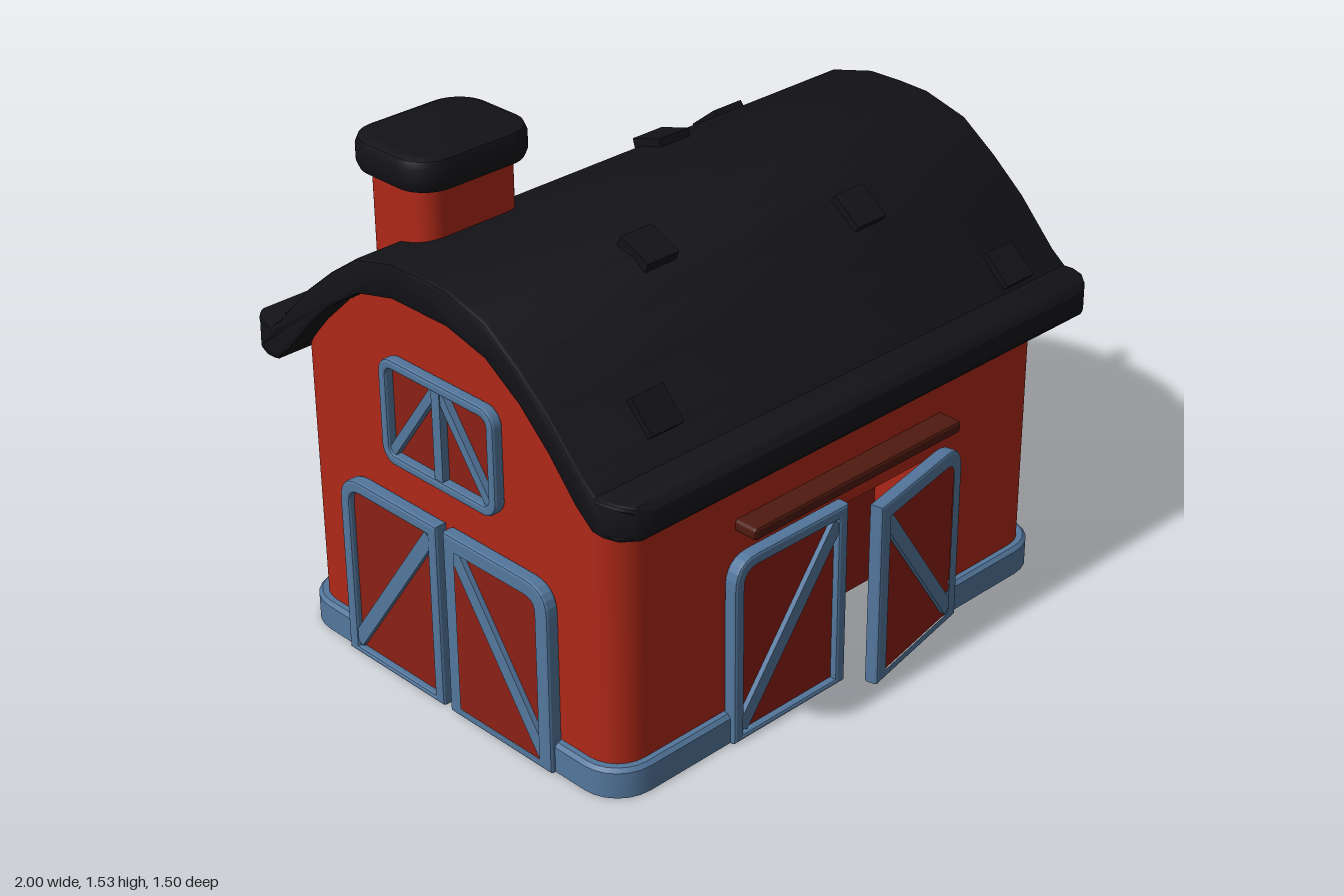
import * as THREE from 'three';
import { toCreasedNormals } from 'three/addons/utils/BufferGeometryUtils.js';

const mat = (color, side = THREE.FrontSide) => new THREE.MeshStandardMaterial({ color, side });
const RED = mat(0xae2818, THREE.DoubleSide), DARK = mat(0x8a2014, THREE.DoubleSide), BLUE = mat(0x53769c);
const ROOF = mat(0x131217), WOOD = mat(0x4f1a10), GOLD = mat(0xb8921c);
const HX = 0.825, HZ = 0.62, DOOR_H = 0.56, DOOR_X = 0.44, DOOR_Z = 0.415;

// Roof half-profiles as [z, y]
const OUTER = [[0, 1.305], [0.105, 1.302], [0.246, 1.265], [0.36, 1.185], [0.468, 1.095], [0.585, 0.97], [0.63, 0.935]];
const INNER = [[0, 1.2], [0.105, 1.2], [0.246, 1.165], [0.367, 1.085], [0.468, 0.99], [0.56, 0.885], [0.62, 0.835]];
const EAVE = [[0.66, 0.937], [0.7, 0.937], [0.73, 0.932], [0.747, 0.915], [0.75, 0.855], [0.735, 0.838], [0.7, 0.833], [0.66, 0.833]];

function heightAt(profile, z) {
  z = Math.abs(z);
  const i = Math.max(1, profile.findIndex((p) => p[0] >= z));
  const [a, b] = [profile[i - 1], profile[i]];
  return a[1] + (b[1] - a[1]) * (z - a[0]) / (b[0] - a[0]);
}

function add(parent, name, geo, material, x = 0, y = 0, z = 0) {
  const m = new THREE.Mesh(geo, material);
  m.name = name;
  m.position.set(x, y, z);
  parent.add(m);
  return m;
}

const extrude = (shape, depth, bevel = 0.008) => new THREE.ExtrudeGeometry(shape, {
  depth: depth - 2 * bevel, bevelEnabled: bevel > 0, bevelSize: bevel, bevelThickness: bevel,
  bevelOffset: -bevel, bevelSegments: 2, curveSegments: 6,
}).translate(0, 0, bevel);

function roundRect(hx, hy, r, T = THREE.Shape) {
  const s = new T(), h = Math.PI / 2;
  [[1, 1], [-1, 1], [-1, -1], [1, -1]].forEach(([a, b], i) => s.absarc(a * (hx - r), b * (hy - r), r, i * h, (i + 1) * h));
  s.closePath();
  return s;
}

// Rounded floor plan, with points exactly at the door edges
function plan(hx, hz, r) {
  const pts = [];
  for (let k = 0; k < 4; k++) {
    const [a, b, d] = k % 2 ? [hx, hz, DOOR_X - 0.05] : [hz, hx, DOOR_Z - 0.05];
    const t = [];
    for (let i = 0; i < 4; i++) t.push(-(a - r) + (a - r - d) * i / 4);
    for (let i = 0; i <= 16; i++) t.push(-d + 2 * d * i / 16);
    for (let i = 1; i < 4; i++) t.push(d + (a - r - d) * i / 4);
    const c = [1, 0, -1, 0][k], s = [0, 1, 0, -1][k];
    for (const u of t) pts.push({ x: c * b - s * u, z: s * b + c * u, door: u > -d - 1e-6 && u < d - 1e-6 });
    for (let i = 0; i < 6; i++) {
      const e = i / 6 * Math.PI / 2, p = b - r + r * Math.cos(e), q = a - r + r * Math.sin(e);
      pts.push({ x: c * p - s * q, z: s * p + c * q, door: false });
    }
  }
  return pts;
}

// Sheet of quads joining rows of points; skip(i, j) leaves a gap
function sheet(rows, skip = () => false) {
  const n = rows[0].length, index = [];
  for (let j = 0; j < rows.length - 1; j++) for (let i = 0; i < n - 1; i++) {
    if (skip(i, j)) continue;
    const a = j * n + i;
    index.push(a, a + n, a + 1, a + 1, a + n, a + n + 1);
  }
  const g = new THREE.BufferGeometry();
  g.setAttribute('position', new THREE.Float32BufferAttribute(rows.flat(2), 3));
  g.setIndex(index);
  g.computeVertexNormals();
  return g;
}

// One door leaf, hinged at x = 0 and reaching towards s * x
function leaf(s, w) {
  const g = new THREE.Group(), h = DOOR_H, t = 0.036;
  const outline = (T, i, b, r) => {
    const p = new T();
    p.moveTo(s * i, b); p.lineTo(s * (w - i), b); p.lineTo(s * (w - i), h - i); p.lineTo(s * (i + r), h - i);
    p.quadraticCurveTo(s * i, h - i, s * i, h - i - r);
    p.closePath();
    return p;
  };
  const frame = outline(THREE.Shape, 0, 0, 0.085);
  frame.holes.push(outline(THREE.Path, t, 0.018, 0.05));
  add(g, 'doorFrame', extrude(frame, 0.042), BLUE);
  add(g, 'doorPanel', extrude(outline(THREE.Shape, 0.01, 0.004, 0.07), 0.014, 0), DARK, 0, 0, 0.008);
  const dx = w - 1.4 * t, dy = h - 1.6 * t;
  add(g, 'doorBrace', new THREE.BoxGeometry(Math.hypot(dx, dy) - 0.03, 0.042, 0.034), BLUE, s * w / 2, h / 2 - 0.005, 0.02)
    .rotation.z = s * Math.atan2(dy, dx);
  return g;
}

// Double door with the recess behind it; the right leaf may stand open
function doubleDoor(hw, open) {
  const g = new THREE.Group();
  for (const s of [-1, 1]) {
    const l = leaf(-s, hw - 0.014);
    l.name = s < 0 ? 'leftLeaf' : 'rightLeaf';
    l.position.x = s * hw;
    if (s > 0) l.rotation.y = open;
    g.add(l);
  }
  const a = hw - 0.02, h = DOOR_H - 0.02, r = 0.07;
  const arch = new THREE.Shape();
  arch.moveTo(a, 0); arch.lineTo(a, h - r); arch.quadraticCurveTo(a, h, a - r, h);
  arch.lineTo(r - a, h); arch.quadraticCurveTo(-a, h, -a, h - r); arch.lineTo(-a, 0);
  const row = (z) => arch.getPoints(6).map((p) => [p.x, p.y, z]);
  add(g, 'doorRecess', toCreasedNormals(sheet([row(-0.004), row(-0.25)]), 0.6), RED);
  add(g, 'recessBack', new THREE.ShapeGeometry(arch, 6), DARK, 0, 0, -0.25);
  return g;
}

function loftWindow() {
  const g = new THREE.Group(), hw = 0.225, hh = 0.157, t = 0.028;
  const frame = roundRect(hw, hh, 0.05);
  frame.holes.push(roundRect(hw - t, hh - t, 0.025, THREE.Path));
  add(g, 'windowFrame', extrude(frame, 0.036), BLUE);
  add(g, 'windowPanel', extrude(roundRect(hw - 0.01, hh - 0.01, 0.04), 0.008, 0), DARK);
  add(g, 'windowPost', new THREE.BoxGeometry(0.032, 2 * hh - t, 0.03), BLUE, 0, 0, 0.016);
  const dx = hw - t, dy = 2 * hh - 1.5 * t;
  for (const s of [-1, 1]) {
    add(g, 'windowBrace', new THREE.BoxGeometry(Math.hypot(dx, dy) - 0.02, 0.027, 0.026), BLUE, s * (dx / 2 + 0.005), -0.003, 0.015)
      .rotation.z = -s * Math.atan2(dy, dx);
  }
  return g;
}

export function createModel() {
  const model = new THREE.Group(), barn = new THREE.Group();
  barn.name = 'barn';
  barn.position.x = -0.105;
  model.add(barn);

  // Walls follow the roof line and leave openings for the doors
  const close = (p) => [...p, p[0]];
  const wall = close(plan(HX, HZ, 0.1));
  const ring = (pts, y) => pts.map((p) => [p.x, typeof y === 'number' ? y : y(p), p.z]);
  add(barn, 'walls', sheet([ring(wall, 0), ring(wall, DOOR_H - 0.03), ring(wall, (p) => heightAt(INNER, p.z) + 0.03)],
    (i, j) => j === 0 && wall[i].door), RED);

  // Foundation band, broken at the doors
  const band = close(plan(HX + 0.026, HZ + 0.026, 0.12));
  const rim = close(plan(HX + 0.016, HZ + 0.016, 0.11));
  const bandMat = mat(0x53769c, THREE.DoubleSide);
  const bandGeo = sheet([ring(wall, 0), ring(band, 0), ring(band, 0.077), ring(rim, 0.088), ring(wall, 0.088)], (i) => wall[i].door);
  add(barn, 'foundation', toCreasedNormals(bandGeo, 0.7), bandMat);

  // Curved roof with eaves rounded at the corners
  const half = [...OUTER, ...EAVE, ...INNER.slice().reverse()];
  const section = [...half, ...half.slice(1, -1).reverse().map(([z, y]) => [-z, y])];
  const roofGeo = extrude(new THREE.Shape(section.map((p) => new THREE.Vector2(...p))), 1.79, 0.012)
    .translate(0, 0, -0.895).rotateY(Math.PI / 2);
  const pos = roofGeo.attributes.position;
  for (let i = 0; i < pos.count; i++) {
    const q = Math.min(0.1, Math.max(0, Math.abs(pos.getZ(i)) - 0.65));
    pos.setX(i, pos.getX(i) * (0.795 + Math.sqrt(0.01 - q * q)) / 0.895);
  }
  add(barn, 'roof', toCreasedNormals(roofGeo, 0.6), ROOF);

  // Raised shingles
  const spots = [[-0.88, -0.6], [-0.28, -0.56], [0.43, -0.37], [0.055, -0.22], [-0.44, 0.24], [0.23, 0.35], [-0.71, 0.54], [0.59, 0.58]];
  for (const [x, z] of spots) {
    const slope = (heightAt(OUTER, z + 0.03) - heightAt(OUTER, z - 0.03)) / 0.06;
    add(barn, 'shingle', new THREE.BoxGeometry(0.11, 0.036, 0.11), ROOF, x + 0.105, heightAt(OUTER, z) + 0.004, z)
      .rotation.x = -Math.atan(slope);
  }

  // Chimney
  const upright = (shape, h, bevel) => toCreasedNormals(extrude(shape, h, bevel).rotateX(-Math.PI / 2), 0.6);
  add(barn, 'chimney', upright(roundRect(0.165, 0.123, 0.06), 0.38, 0), RED, -0.58, 1.07, -0.263);
  add(barn, 'chimneyCap', upright(roundRect(0.205, 0.162, 0.1), 0.1, 0.028), ROOF, -0.58, 1.43, -0.263);

  // Doors, lintels and loft windows on each side
  const sides = [
    { name: 'front', turn: 0, open: 0.19, lintel: 0.64 }, { name: 'leftEnd', turn: 1, open: 0.265, lintel: 0.637 },
    { name: 'back', turn: 2, open: 0, lintel: 0.695 }, { name: 'rightEnd', turn: 3, open: 0 },
  ];
  for (const { name, turn, open, lintel } of sides) {
    const end = turn % 2, side = new THREE.Group(), d = end ? HX : HZ;
    side.name = name;
    side.rotation.y = turn * Math.PI / 2;
    barn.add(side);
    const door = doubleDoor(end ? DOOR_Z : DOOR_X, open);
    door.name = name + 'Door';
    door.position.z = d;
    side.add(door);
    if (lintel) add(side, 'lintel', extrude(roundRect(0.4, 0.018, 0.012), 0.08), WOOD, 0, lintel, d - 0.01);
    if (end) {
      const win = loftWindow();
      win.name = 'loftWindow';
      win.position.set(0, 0.834, d);
      side.add(win);
    }
  }

  // Bell hanging from a wooden arm
  const plate = add(barn, 'armPlate', extrude(roundRect(0.055, 0.04, 0.012), 0.045), WOOD, HX - 0.01, 1.1, 0);
  plate.rotation.y = Math.PI / 2;
  const arm = add(barn, 'bellArm', new THREE.CylinderGeometry(0.028, 0.036, 0.27, 8), WOOD, 0.968, 1.108, -0.003);
  arm.rotation.z = -Math.PI / 2;
  arm.scale.x = 0.6;
  const bell = [[0, 0.09], [0.012, 0.088], [0.022, 0.075], [0.026, 0.04], [0.036, 0.012], [0.036, 0], [0.028, 0], [0.018, 0.04], [0, 0.06]];
  add(barn, 'bell', new THREE.LatheGeometry(bell.map((p) => new THREE.Vector2(...p)).reverse(), 16), GOLD, 1.065, 1.0, 0);
  add(barn, 'clapper', new THREE.SphereGeometry(0.011, 10, 8), GOLD, 1.065, 1.012, 0);
  return model;
}
